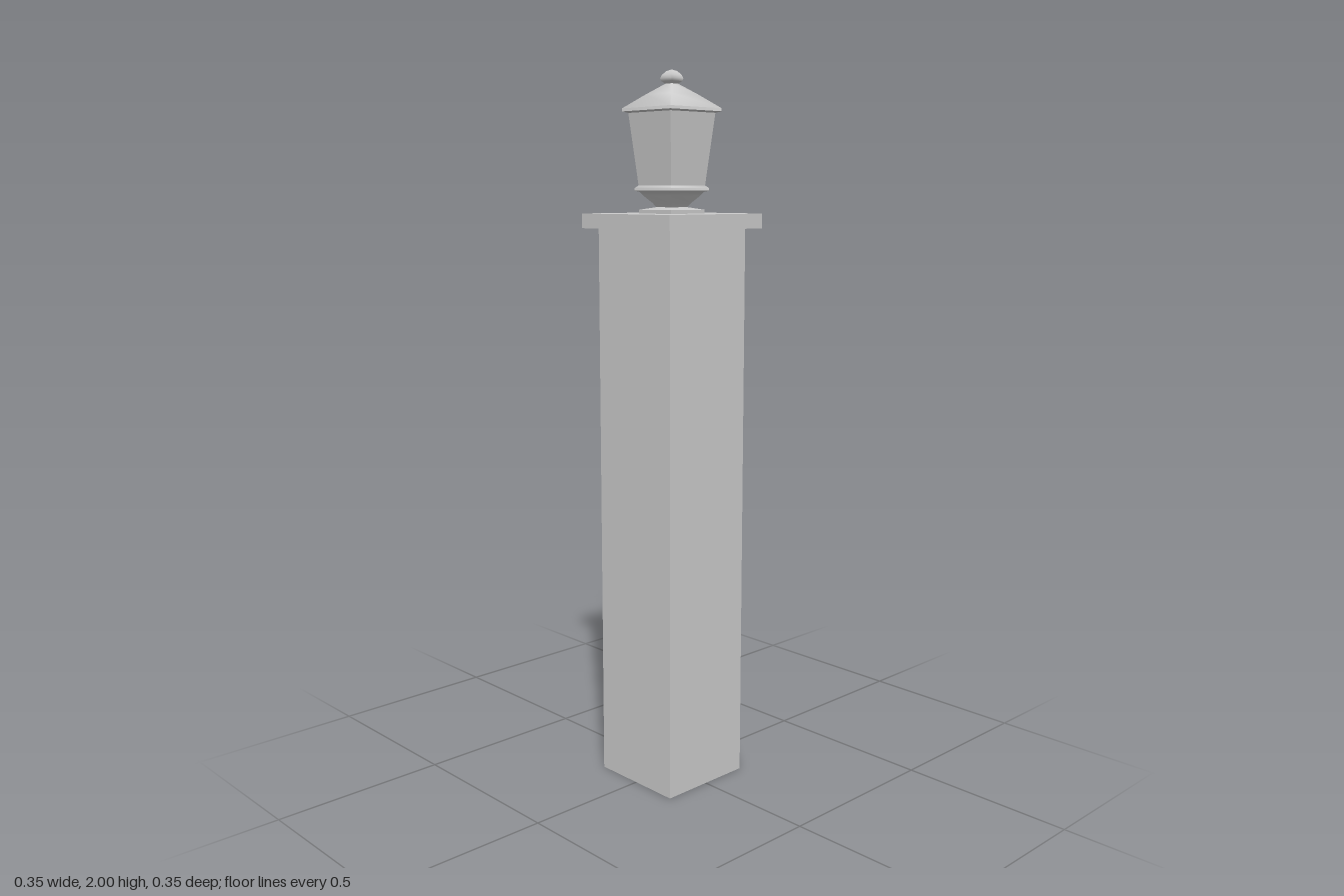
import * as THREE from 'three';
import { toCreasedNormals } from 'three/addons/utils/BufferGeometryUtils.js';

const material = new THREE.MeshStandardMaterial({ color: 0xcccccc, side: THREE.DoubleSide });

// Square-section solid from [half width, height] pairs, listed bottom to top
function squareLathe(name, profile, crease = Math.PI / 3) {
  const points = profile.map(([half, y]) => new THREE.Vector2(half * Math.SQRT2, y));
  const geometry = new THREE.LatheGeometry(points, 4, Math.PI / 4);
  const mesh = new THREE.Mesh(toCreasedNormals(geometry, crease), material);
  mesh.name = name;
  return mesh;
}

export function createModel() {
  const model = new THREE.Group();
  model.name = 'lanternPillar';

  // Hollow pillar and cap slab, both open underneath
  const pillar = squareLathe('pillar', [[0.142, 0], [0.142, 1.58], [0, 1.58]], 0.5);
  const cap = squareLathe('capSlab', [[0.174, 1.58], [0.174, 1.62], [0, 1.62]], 0.5);
  model.add(pillar, cap);

  // Lantern standing on the cap, very slightly off centre
  const lantern = new THREE.Group();
  lantern.name = 'lantern';
  lantern.position.set(0.003, 0, 0.003);
  lantern.add(
    squareLathe('lanternFoot', [[0.063, 1.62], [0.063, 1.63], [0.03, 1.637]]),
    squareLathe('lanternBowl', [
      [0.03, 1.637], [0.037, 1.648], [0.055, 1.668], [0.062, 1.678],
      [0.072, 1.681], [0.072, 1.688], [0.064, 1.695],
    ]),
    squareLathe('lanternBody', [[0.064, 1.695], [0.083, 1.887]]),
    squareLathe('lanternRoof', [
      [0.083, 1.887], [0.095, 1.891], [0.095, 1.899], [0.05, 1.935], [0.011, 1.964],
    ]),
    squareLathe('finial', [
      [0.011, 1.962], [0.02, 1.97], [0.022, 1.977], [0.019, 1.986], [0.01, 1.996], [0, 2],
    ]),
  );
  model.add(lantern);
  return model;
}
